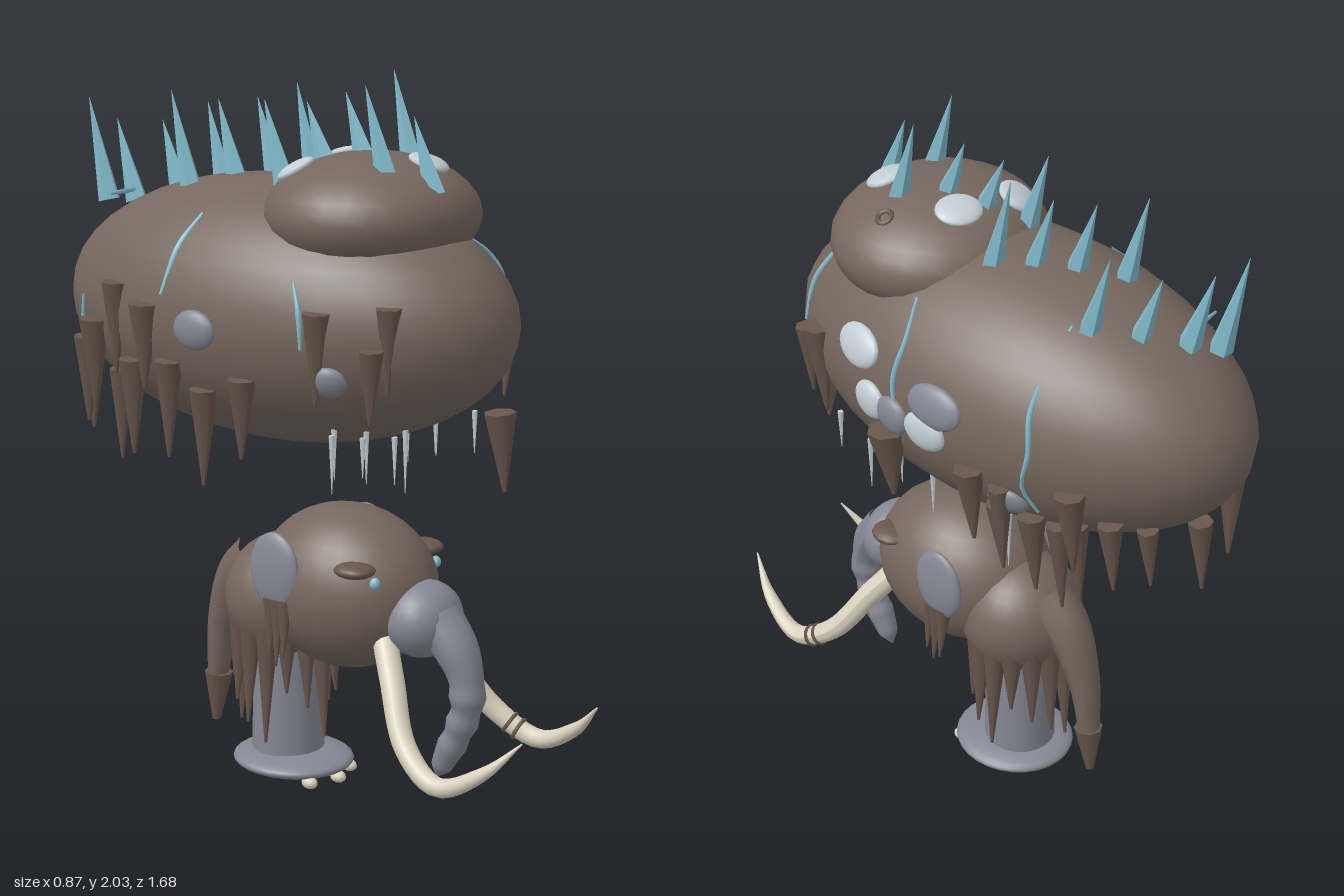
import * as THREE from 'three';

const V = (x, y, z) => new THREE.Vector3(x, y, z);
const mat = (name, color) => Object.assign(new THREE.MeshStandardMaterial({ color }), { name });

export function createModel() {
  const hide = mat('brown hide', 0x75675d), fur = mat('dark fur', 0x68574c);
  const skin = mat('grey skin', 0x858793), ivory = mat('ivory', 0xd8d1be);
  const crystal = mat('ice crystal', 0x82bccd), frost = mat('pale frost', 0xc3ced4);
  const root = new THREE.Group();

  const add = (name, geo, m) => {
    const mesh = new THREE.Mesh(geo, m);
    mesh.name = name;
    root.add(mesh);
    return mesh;
  };
  const ball = (name, p, r, m, w = 28, h = 18) => {
    const mesh = add(name, new THREE.SphereGeometry(1, w, h), m);
    mesh.position.set(...p);
    mesh.scale.set(...r);
    return mesh;
  };
  // tapered spike between two points
  const spike = (name, a, b, r, m, sides = 7, tip = 0.12, flat = false) => {
    const d = b.clone().sub(a);
    let geo = new THREE.CylinderGeometry(r * tip, r, d.length(), sides, 1);
    if (flat) { geo = geo.toNonIndexed(); geo.computeVertexNormals(); }
    const mesh = add(name, geo, m);
    mesh.position.copy(a).add(b).multiplyScalar(0.5);
    mesh.quaternion.setFromUnitVectors(V(0, 1, 0), d.normalize());
    return mesh;
  };
  // tube whose radius follows a list of values
  const limb = (name, pts, radii, m, seg = 24, sides = 12) => {
    const path = new THREE.CatmullRomCurve3(pts.map(p => V(...p)));
    const geo = new THREE.TubeGeometry(path, seg, 1, sides);
    const pos = geo.attributes.position, v = V(0, 0, 0);
    for (let i = 0; i <= seg; i++) {
      const c = path.getPointAt(i / seg), f = i / seg * (radii.length - 1);
      const k = Math.min(Math.floor(f), radii.length - 2);
      const r = THREE.MathUtils.lerp(radii[k], radii[k + 1], f - k);
      for (let j = 0; j <= sides; j++) {
        const n = i * (sides + 1) + j;
        v.fromBufferAttribute(pos, n).sub(c).multiplyScalar(r).add(c);
        pos.setXYZ(n, v.x, v.y, v.z);
      }
    }
    geo.computeVertexNormals();
    return add(name, geo, m);
  };

  // floating upper body and hump
  const B = { c: [0, 1.38, -0.1], r: [0.4, 0.37, 0.74] };
  const H = { c: [0, 1.665, 0.2], r: [0.305, 0.168, 0.29] };
  ball('upperBody', B.c, B.r, hide, 32, 20);
  ball('hump', H.c, H.r, hide);
  const root0 = t => Math.sqrt(Math.max(t, 0));
  const sideX = (y, z) => B.r[0] * root0(1 - ((y - B.c[1]) / B.r[1]) ** 2 - ((z - B.c[2]) / B.r[2]) ** 2);
  const topOf = (E, x, z) => E.c[1] + E.r[1] * root0(1 - (x / E.r[0]) ** 2 - ((z - E.c[2]) / E.r[2]) ** 2);
  const topY = (x, z) => Math.max(topOf(B, x, z), topOf(H, x, z));
  const normal = (E, p) => V(...['x', 'y', 'z'].map((k, i) => (p[k] - E.c[i]) / E.r[i] ** 2)).normalize();

  // hanging fur locks on both flanks: z, top, bottom, radius
  const locks = (side, list) => list.forEach(([z, top, bot, r]) => {
    const x = sideX(top, z) + 0.005;
    spike('furLock', V(side * x, top, z), V(side * (x - 0.01), bot, z - 0.01), r, fur);
  });
  locks(1, [[0.48, 1.37, 1.16, 0.03], [0.37, 1.44, 1.17, 0.043], [0.03, 1.3, 1.09, 0.055],
    [-0.265, 1.31, 1.09, 0.042], [-0.32, 1.2, 0.99, 0.035], [-0.35, 1.28, 1.07, 0.03], [-0.41, 1.19, 0.95, 0.04],
    [-0.47, 1.17, 0.9, 0.035], [-0.55, 1.33, 1.09, 0.042], [-0.53, 1.2, 0.95, 0.035], [-0.62, 1.23, 1.02, 0.035],
    [-0.68, 1.2, 1.02, 0.03], [-0.73, 1.17, 0.95, 0.035]]);
  locks(-1, [[0.45, 1.47, 1.24, 0.035], [0.42, 1.36, 1.16, 0.035], [0.28, 1.45, 1.2, 0.04], [0.05, 1.25, 1.03, 0.04],
    [-0.1, 1.2, 0.93, 0.04], [-0.2, 1.27, 1.0, 0.04], [-0.28, 1.42, 1.18, 0.045], [-0.36, 1.25, 0.98, 0.042],
    [-0.42, 1.46, 1.2, 0.04], [-0.46, 1.2, 0.94, 0.035], [-0.53, 1.34, 1.09, 0.045], [-0.62, 1.27, 1.02, 0.042],
    [-0.7, 1.22, 0.97, 0.04]]);
  spike('frontLock', V(0.065, 1.16, 0.58), V(0.08, 0.94, 0.59), 0.045, fur);

  // thin icicles below the belly: x, z, bottom
  [[-0.26, 0.27, 0.95], [-0.23, 0.35, 1.0], [-0.2, 0.23, 0.97], [-0.17, 0.41, 0.98], [-0.15, 0.3, 0.96],
    [-0.07, 0.37, 0.93], [0.16, 0.3, 0.98], [0.18, 0.19, 0.94], [0.22, 0.39, 0.99], [0.26, 0.23, 0.95],
    [0.25, 0, 0.97], [-0.24, -0.22, 0.96], [0.26, -0.29, 0.94], [-0.22, -0.36, 0.98]]
    .forEach(([x, z, y]) => spike('icicle', V(x, 1.11, z), V(x, y, z), 0.009, frost, 5));

  // flat ice and stone patches lying on the flanks
  [[1, 0.16, 1.49, 0.085, 0.057, frost], [1, 0.09, 1.365, 0.06, 0.055, frost], [1, 0, 1.36, 0.058, 0.055, skin],
    [1, -0.12, 1.365, 0.07, 0.055, frost], [1, -0.15, 1.45, 0.09, 0.06, skin], [1, -0.36, 1.235, 0.06, 0.048, skin],
    [-1, -0.09, 1.37, 0.07, 0.055, skin], [-1, 0.3, 1.265, 0.05, 0.045, skin]].forEach(([s, z, y, a, b, m]) => {
    const p = V(s * sideX(y, z), y, z), patch = ball('flankPatch', p.toArray(), [a, b, 0.025], m, 16, 10);
    patch.lookAt(p.clone().add(normal(B, p)));
  });
  // frost patches on the hump
  [[-0.13, 0.04], [0.065, 0.07], [0.055, 0.345]].forEach(([x, z]) => {
    const p = V(x, topY(x, z), z), patch = ball('humpPatch', p.toArray(), [0.066, 0.056, 0.018], frost, 16, 10);
    patch.lookAt(p.clone().add(normal(H, p)));
  });
  const scar = add('humpScar', new THREE.TorusGeometry(0.02, 0.008, 6, 10), fur);
  scar.position.set(0.2, topY(0.2, 0.21), 0.21);
  scar.rotation.set(-Math.PI / 2, 0.5, 0);

  // back-swept crystals along the spine: x, z, height
  [[-0.03, 0.43, 0.17], [-0.1, 0.325, 0.21], [0.11, 0.25, 0.22], [0.02, 0.16, 0.15], [-0.02, 0.06, 0.14],
    [-0.1, -0.02, 0.2], [0.1, -0.08, 0.25], [0.04, -0.17, 0.2], [-0.02, -0.26, 0.2], [-0.1, -0.36, 0.25],
    [0.12, -0.43, 0.22], [0.04, -0.53, 0.18], [-0.05, -0.62, 0.2], [-0.09, -0.69, 0.26]].forEach(([x, z, h]) => {
    const y = topY(x, z);
    spike('spineCrystal', V(x, y - 0.03, z), V(x * 1.05, y + h, z - 0.07), 0.033, crystal, 5, 0.02, true);
  });

  // glowing cracks following the surface: side, then y,z points
  [[1, [1.62, 0.44], [1.56, 0.455], [1.5, 0.475], [1.39, 0.48]], [1, [1.65, 0.03], [1.57, 0], [1.46, 0.005], [1.34, -0.02]],
    [1, [1.69, -0.4], [1.53, -0.42], [1.42, -0.44], [1.31, -0.42], [1.22, -0.44]], [-1, [1.66, -0.18], [1.58, -0.2], [1.45, -0.22]],
    [-1, [1.52, 0.2], [1.45, 0.23], [1.35, 0.24]], [-1, [1.4, -0.6], [1.3, -0.62], [1.2, -0.6]]].forEach(([s, ...pts]) =>
    limb('iceCrack', pts.map(([y, z]) => [s * (sideX(y, z) + 0.002), y, z]), [0.004, 0.008, 0.004], crystal, 16, 5));
  limb('iceCrack', [-0.18, -0.1, -0.04].map((x, i) => [x, topY(x, -0.6) + 0.003, -0.6 - i * 0.01]),
    [0.004, 0.008, 0.004], crystal, 10, 5);

  // lower head and rump
  ball('lowerHead', [0, 0.613, 0.12], [0.222, 0.232, 0.275], hide);
  ball('rump', [0, 0.545, -0.1], [0.18, 0.18, 0.18], hide);
  limb('tail', [[0, 0.64, -0.2], [0, 0.57, -0.28], [0, 0.42, -0.345], [0, 0.25, -0.37]], [0.08, 0.062, 0.045, 0.032], hide);
  spike('tailTuft', V(0, 0.25, -0.367), V(0, 0.1, -0.378), 0.042, fur, 8, 0.3);

  // single leg, foot and toenails
  const leg = add('leg', new THREE.CylinderGeometry(0.1, 0.105, 0.4, 20), skin);
  leg.position.set(0, 0.26, -0.1);
  ball('foot', [0, 0.055, -0.08], [0.168, 0.037, 0.18], skin);
  [-0.09, 0, 0.09].forEach(x =>
    ball('toenail', [x, 0.03, 0.085 - Math.abs(x) * 0.35], [0.02, 0.018, 0.026], ivory, 10, 8));

  // skirt of fur around the leg
  for (let i = 0; i < 15; i++) {
    const a = i / 15 * Math.PI * 2, x = Math.sin(a), z = Math.cos(a);
    const low = 0.14 + 0.05 * ((i * 7) % 4);
    spike('legFur', V(x * 0.135, 0.5, -0.11 + z * 0.13), V(x * 0.15, low, -0.11 + z * 0.145), 0.036, fur);
  }

  // trunk
  ball('trunkBase', [0, 0.565, 0.385], [0.122, 0.108, 0.105], skin, 20, 14);
  limb('trunk', [[0, 0.57, 0.43], [0, 0.5, 0.495], [0, 0.42, 0.53], [0, 0.34, 0.533], [0, 0.26, 0.505], [0, 0.18, 0.465], [0, 0.115, 0.435]],
    [0.075, 0.07, 0.065, 0.06, 0.053, 0.048, 0.052, 0.04, 0.046, 0.037, 0.042, 0.036, 0.03, 0.001], skin, 39);

  // paired parts of the lower head
  const tusk = [[0.08, 0.52, 0.31], [0.135, 0.42, 0.38], [0.205, 0.27, 0.48], [0.237, 0.2, 0.61], [0.22, 0.265, 0.745], [0.18, 0.36, 0.84]];
  for (const s of [-1, 1]) {
    limb('tusk', tusk.map(([x, y, z]) => [s * x, y, z]), [0.036, 0.035, 0.032, 0.028, 0.02, 0.002], ivory, 28);
    ball('ear', [s * 0.207, 0.68, 0.025], [0.025, 0.11, 0.085], skin, 20, 14);
    ball('eye', [s * 0.138, 0.683, 0.322], [0.015, 0.017, 0.015], crystal, 12, 8);
    ball('brow', [s * 0.155, 0.715, 0.265], [0.055, 0.022, 0.06], fur, 14, 10);
    [[0.06, 0.44], [0.035, 0.41], [0.01, 0.43]].forEach(([z, y]) =>
      spike('earTuft', V(s * 0.205, 0.6, z), V(s * 0.22, y, z + 0.005), 0.024, fur));
  }
  // bands on the left tusk
  const path = new THREE.CatmullRomCurve3(tusk.map(p => V(...p)));
  [0.5, 0.54].forEach(t => {
    const band = add('tuskBand', new THREE.TorusGeometry(0.03, 0.006, 6, 14), fur);
    const p = path.getPointAt(t);
    band.position.copy(p);
    band.lookAt(p.clone().add(path.getTangentAt(t)));
  });
  return root;
}
